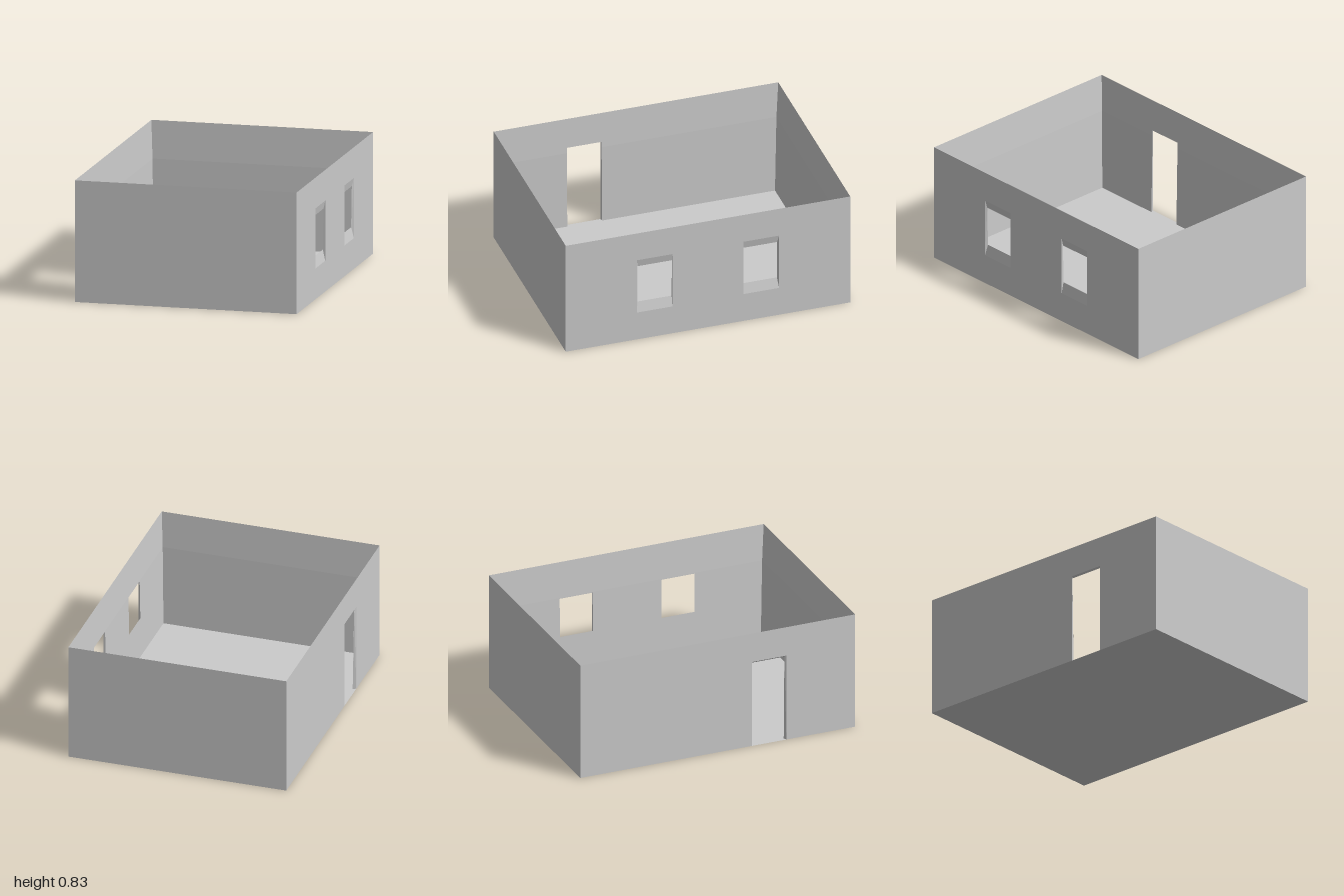
import * as THREE from 'three';

const HX = 0.765, HZ = 1, H = 0.83, BEND = 0.57;
const material = new THREE.MeshStandardMaterial({ color: 0xcccccc, flatShading: true, side: THREE.DoubleSide });

// Openings as [start, bottom, end, top] along z: outer edge and inner edge
const WINDOWS = [
  { outer: [0.25, 0.21, 0.5, 0.62], inner: [0.25, 0.285, 0.49, 0.565] },
  { outer: [-0.5, 0.21, -0.25, 0.62], inner: [-0.49, 0.285, -0.25, 0.565] },
];
const DOOR = { outer: [0.25, 0, 0.5, 0.62], inner: [0.245, 0, 0.49, 0.61] };

// Wall thickness: nothing at the rim, growing to full depth at the floor
function inset(y, full) {
  return y > BEND ? full * 0.55 * (H - y) / (H - BEND) : full * (1 - 0.45 * y / BEND);
}

// Places a point (along the wall, height) on the outer or inner skin
function place(axis, side, isInner, u, y) {
  const x = HX - (isInner ? inset(y, 0.022) : 0);
  const z = HZ - (isInner ? inset(y, 0.03) : 0);
  return axis === 'x'
    ? [side * x, y, THREE.MathUtils.clamp(u, -z, z)]
    : [THREE.MathUtils.clamp(u, -x, x), y, side * z];
}

const corners = ([a, b, c, d]) => [[a, b], [c, b], [c, d], [a, d]];
const toPoints = (list) => list.map(([u, y]) => new THREE.Vector2(u, y));

// One skin panel between two heights, with windows cut out and a door notch
function panel(axis, side, isInner, y0, y1, windows, door) {
  const half = axis === 'x' ? HZ : HX;
  let outline = corners([-half, y0, half, y1]);
  if (door && y0 < door[3]) {
    const top = Math.min(door[3], y1);
    const notch = [[door[0], y0], [door[0], top], [door[2], top], [door[2], y0]];
    outline = top < y1
      ? [outline[0], ...notch, ...outline.slice(1)]
      : null;
    // A notch through the full height leaves two separate pieces
    if (!outline) {
      return [[-half, door[0]], [door[2], half]].flatMap(([a, b]) =>
        shapeMesh(axis, side, isInner, corners([a, y0, b, y1]),
          windows.filter((w) => w[0] > a && w[2] < b)));
    }
  }
  return [shapeMesh(axis, side, isInner, outline, windows)];
}

function shapeMesh(axis, side, isInner, outline, windows) {
  const shape = new THREE.Shape(toPoints(outline));
  for (const w of windows) shape.holes.push(new THREE.Path(toPoints(corners(w).reverse())));
  const geometry = new THREE.ShapeGeometry(shape);
  const pos = geometry.attributes.position;
  for (let i = 0; i < pos.count; i++) {
    pos.setXYZ(i, ...place(axis, side, isInner, pos.getX(i), pos.getY(i)));
  }
  // Keep the front of each skin facing away from the wall's core
  const faces = axis === 'x' ? -side : side;
  if (faces * (isInner ? -1 : 1) < 0) geometry.index.array.reverse();
  geometry.computeVertexNormals();
  const mesh = new THREE.Mesh(geometry, material);
  mesh.name = isInner ? 'innerSkin' : 'outerSkin';
  return mesh;
}

// Bevelled faces joining an opening's outer edge to its inner edge
function reveal(side, { outer, inner }, isDoor) {
  const o = corners(outer).map(([u, y]) => place('x', side, false, u, y));
  const n = corners(inner).map(([u, y]) => place('x', side, true, u, y));
  const vertices = [];
  for (let i = isDoor ? 1 : 0; i < 4; i++) {
    const j = (i + 1) % 4;
    const tris = side > 0 ? [o[i], n[i], n[j], o[i], n[j], o[j]] : [o[i], n[j], n[i], o[i], o[j], n[j]];
    vertices.push(...tris.flat());
  }
  const geometry = new THREE.BufferGeometry();
  geometry.setAttribute('position', new THREE.Float32BufferAttribute(vertices, 3));
  geometry.computeVertexNormals();
  const mesh = new THREE.Mesh(geometry, material);
  mesh.name = isDoor ? 'doorReveal' : 'windowReveal';
  return mesh;
}

function wall(name, axis, side, windows = [], door = null) {
  const group = new THREE.Group();
  group.name = name;
  const inner = windows.map((w) => w.inner);
  group.add(...panel(axis, side, false, 0, H, windows.map((w) => w.outer), door?.outer));
  group.add(...panel(axis, side, true, 0, BEND, inner, door?.inner));
  group.add(...panel(axis, side, true, BEND, H, [], door?.inner));
  for (const w of windows) group.add(reveal(side, w, false));
  if (door) group.add(reveal(side, door, true));
  return group;
}

export function createModel() {
  const model = new THREE.Group();
  model.name = 'openRoom';

  // Thin floor
  const floor = new THREE.Mesh(new THREE.PlaneGeometry(HX * 2, HZ * 2).rotateX(-Math.PI / 2), material);
  floor.name = 'floor';
  model.add(floor);

  // Four walls: windows on one long side, a doorway on the other
  model.add(
    wall('frontWall', 'z', 1),
    wall('backWall', 'z', -1),
    wall('windowWall', 'x', 1, WINDOWS),
    wall('doorWall', 'x', -1, [], DOOR),
  );
  return model;
}
